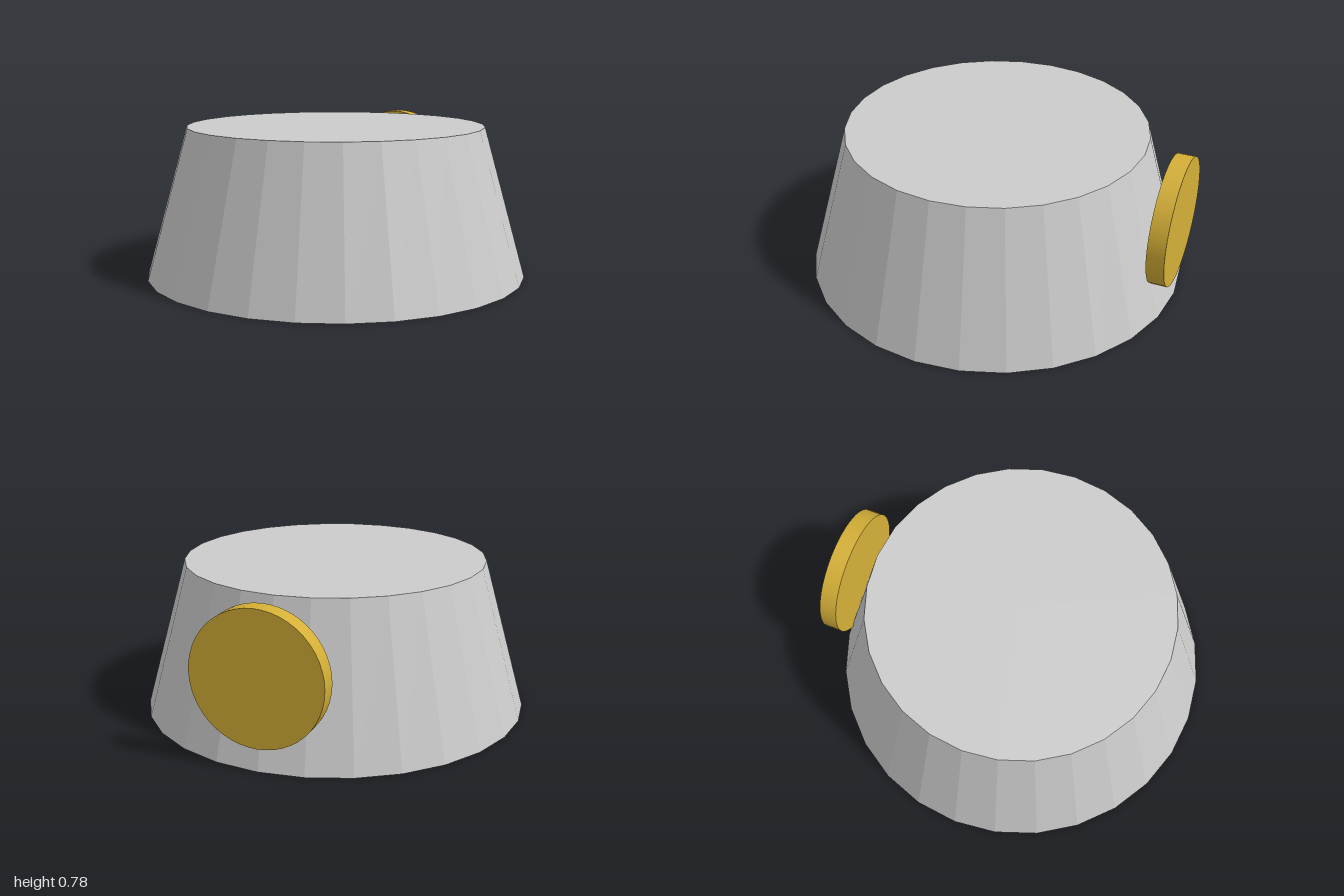
import * as THREE from 'three';

export function createModel() {
  const group = new THREE.Group();
  const grey = new THREE.MeshStandardMaterial({ color: 0xcccccc, flatShading: true });
  const gold = new THREE.MeshStandardMaterial({ color: 0xd4af37 });

  // Faceted tapered body
  const height = 0.78;
  const body = new THREE.Mesh(new THREE.CylinderGeometry(0.78, 1, height, 28), grey);
  body.name = 'body';
  body.position.y = height / 2;
  group.add(body);

  // Round disc set into the back of the body
  const thickness = 0.09;
  const disc = new THREE.Mesh(new THREE.CylinderGeometry(0.333, 0.333, thickness, 48), gold);
  disc.name = 'backDisc';
  disc.rotation.x = Math.PI / 2;
  disc.position.set(0, 0.447, -1 + thickness / 2);
  group.add(disc);

  return group;
}
